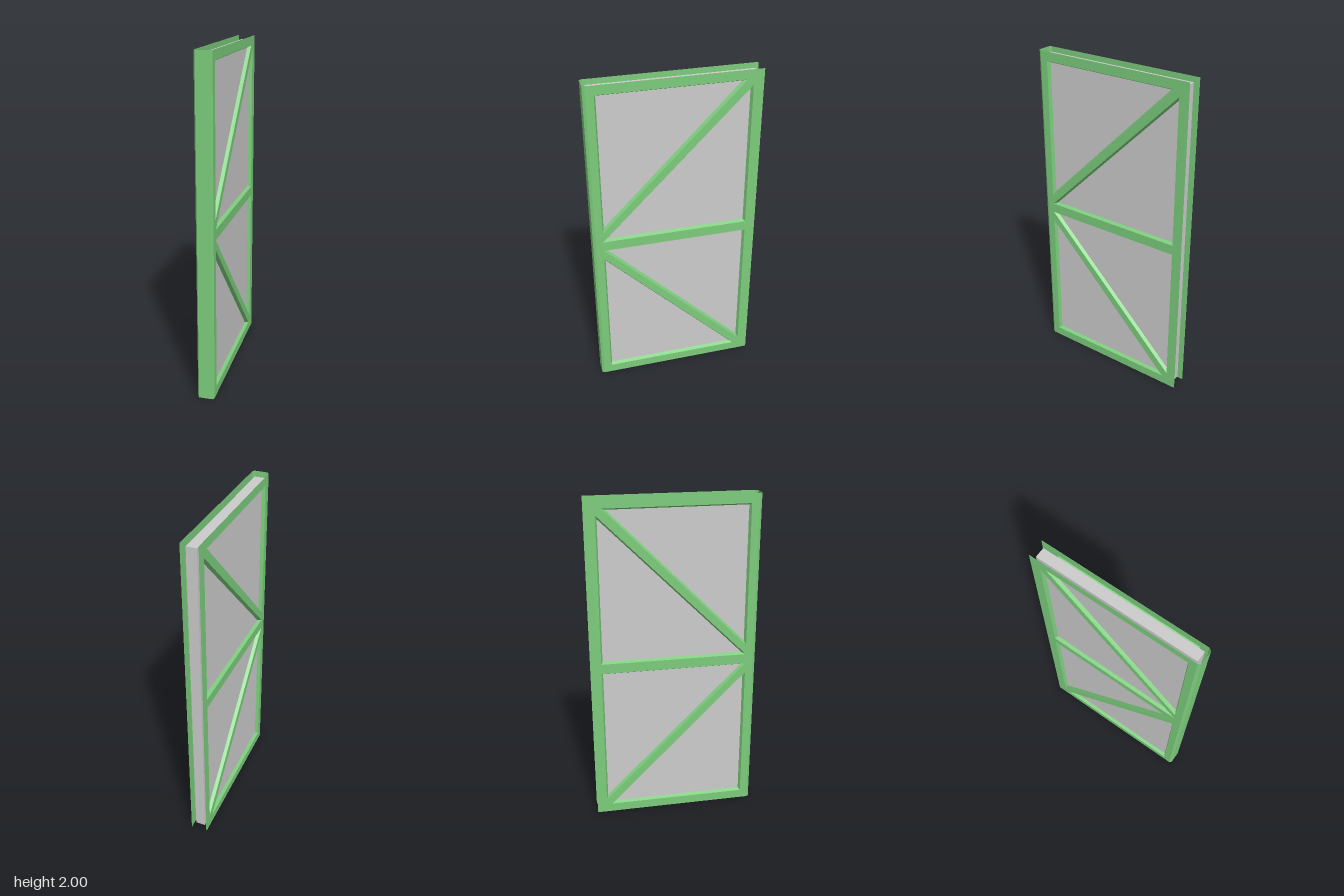
import * as THREE from 'three';

const FACE = 0.05, PANEL = 0.03, INSET = 0.01;
const green = new THREE.MeshStandardMaterial({ color: 0x7ccc7c, flatShading: true, side: THREE.DoubleSide });
const grey = new THREE.MeshStandardMaterial({ color: 0xcccccc, flatShading: true });

// Triangular openings as [z, y]; the lower pair mirrors the upper pair
const upper = [
  [[0.44, 1.945], [-0.405, 1.945], [0.44, 1.09]],
  [[-0.44, 1.91], [-0.44, 1.03], [0.44, 1.03]],
];
const openings = [...upper, ...upper.map(t => t.map(([z, y]) => [z, 2 - y]))];

function named(name, geometry, material) {
  const mesh = new THREE.Mesh(geometry, material);
  mesh.name = name;
  return mesh;
}

// Quads given as corner lists in counter-clockwise order
function quads(list) {
  const pos = [];
  for (const [a, b, c, d] of list) pos.push(...a, ...b, ...c, ...a, ...c, ...d);
  const g = new THREE.BufferGeometry();
  g.setAttribute('position', new THREE.Float32BufferAttribute(pos, 3));
  g.computeVertexNormals();
  return g;
}

// Shrink a triangle by an even margin, towards its incentre
function insetTriangle([a, b, c], d) {
  const la = b.distanceTo(c), lb = c.distanceTo(a), lc = a.distanceTo(b), p = la + lb + lc;
  const centre = new THREE.Vector2()
    .addScaledVector(a, la / p).addScaledVector(b, lb / p).addScaledVector(c, lc / p);
  const radius = 2 * Math.abs(THREE.ShapeUtils.area([a, b, c])) / p;
  return [a, b, c].map(v => v.clone().lerp(centre, d / radius));
}

// One braced face: a thin sheet with four openings and their sloping reveals
function bracedFace(side) {
  const pt = ([z, y]) => new THREE.Vector2(-side * z, y);
  const sheet = new THREE.Shape([[0.485, 0], [-0.5, 0], [-0.5, 2], [0.485, 2]].map(pt));
  const walls = [];
  for (const o of openings) {
    const tri = o.map(pt);
    if (THREE.ShapeUtils.area(tri) < 0) tri.reverse();
    sheet.holes.push(new THREE.Path(tri));
    const inner = insetTriangle(tri, INSET);
    for (let i = 0; i < 3; i++) {
      const j = (i + 1) % 3;
      walls.push([
        [tri[i].x, tri[i].y, FACE], [tri[j].x, tri[j].y, FACE],
        [inner[j].x, inner[j].y, PANEL], [inner[i].x, inner[i].y, PANEL],
      ]);
    }
  }
  const group = new THREE.Group();
  group.name = side > 0 ? 'leftFace' : 'rightFace';
  group.add(named('bracedSheet', new THREE.ShapeGeometry(sheet).translate(0, 0, FACE), green));
  group.add(named('openingReveals', quads(walls), green));
  group.rotation.y = side * Math.PI / 2;
  return group;
}

export function createModel() {
  const model = new THREE.Group();
  model.name = 'bracedDoor';

  // Core panel, recessed from the open edges
  const panel = named('corePanel', new THREE.BoxGeometry(2 * PANEL, 1.95, 0.95), grey);
  panel.position.y = 1;
  model.add(panel);

  model.add(bracedFace(1), bracedFace(-1));

  // Chamfered strip that closes the front edge
  const profile = [[FACE, 0.485], [0.04, 0.5], [-0.04, 0.5], [-FACE, 0.485]];
  const strip = [];
  for (let i = 0; i < 3; i++) {
    const [[x0, z0], [x1, z1]] = [profile[i], profile[i + 1]];
    strip.push([[x0, 0, z0], [x0, 2, z0], [x1, 2, z1], [x1, 0, z1]]);
  }
  model.add(named('frontEdgeStrip', quads(strip), green));
  return model;
}
